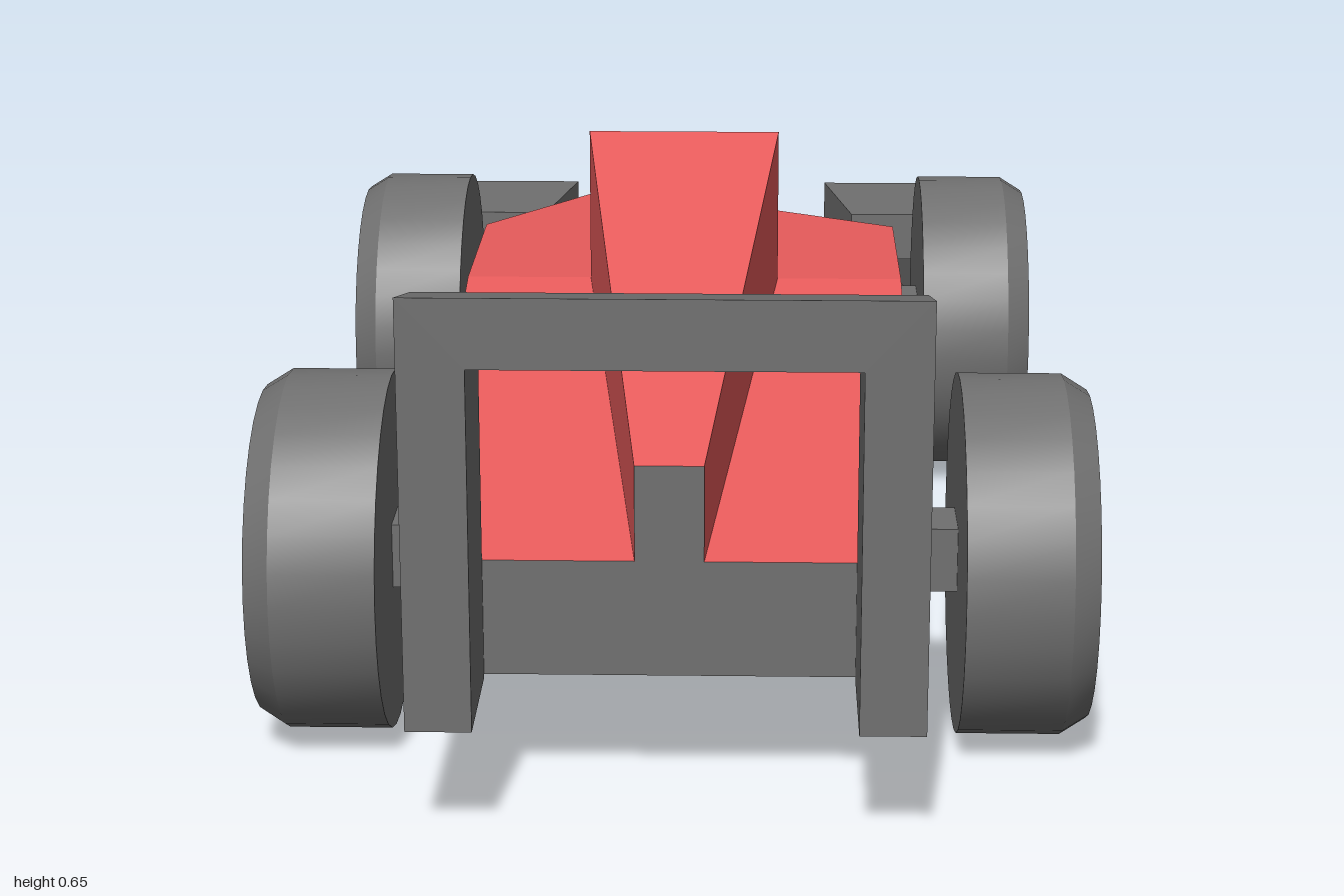
import * as THREE from 'three';
import { toCreasedNormals } from 'three/addons/utils/BufferGeometryUtils.js';

const material = (color) => new THREE.MeshStandardMaterial({ color });
const red = material(0xe75b5b);
const dark = material(0x707070);
const glass = material(0x566680);
const metal = material(0xcccccc);

function part(name, geometry, mat) {
  const mesh = new THREE.Mesh(geometry, mat);
  mesh.name = name;
  return mesh;
}

// Flat panels given for the +x half, mirrored to the other side.
function mirroredPanels(panels) {
  const out = [];
  const fan = (p) => {
    for (let i = 1; i < p.length - 1; i++) out.push(...p[0], ...p[i], ...p[i + 1]);
  };
  for (const p of panels) {
    fan(p);
    fan(p.map(([x, y, z]) => [-x, y, z]).reverse());
  }
  const g = new THREE.BufferGeometry();
  g.setAttribute('position', new THREE.Float32BufferAttribute(out, 3));
  g.computeVertexNormals();
  return g;
}

// Symmetric outline from its +x half, extruded from z0 to z1, then bent by a rule.
function wing(half, z0, z1, rule) {
  const outline = [...half, ...half.map(([x, y]) => [-x, y]).reverse()];
  const shape = new THREE.Shape(outline.map(([x, y]) => new THREE.Vector2(x, y)));
  const g = new THREE.ExtrudeGeometry(shape, { depth: z1 - z0, bevelEnabled: false });
  g.translate(0, 0, z0);
  const pos = g.attributes.position;
  const v = new THREE.Vector3();
  for (let i = 0; i < pos.count; i++) {
    v.fromBufferAttribute(pos, i);
    rule(v);
    pos.setXYZ(i, v.x, v.y, v.z);
  }
  g.computeVertexNormals();
  return g;
}

// Profile of [radius, x] points turned about the x axis.
function turned(profile) {
  const g = new THREE.LatheGeometry(profile.map(([r, x]) => new THREE.Vector2(r, x)), 32);
  g.rotateZ(-Math.PI / 2);
  return toCreasedNormals(g, 0.5);
}

function createWheel() {
  const wheel = new THREE.Group();
  wheel.name = 'wheel';
  wheel.add(
    part('tyre', turned([[0, -0.08], [0.22, -0.08], [0.22, 0.045], [0.2, 0.077], [0.112, 0.077]]), dark),
    part('hub', turned([[0.112, 0.077], [0.08, 0.045], [0, 0.045]]), metal),
  );
  return wheel;
}

export function createModel() {
  const car = new THREE.Group();
  car.name = 'racingCar';

  // Key heights and stations of the body
  const floor = 0.155, deck = 0.45, tail = 0.295, crown = 0.65;
  const back = 0.84, peak = 0.16, shoulder = -0.13, neck = -0.25, bend = -0.53, tip = -0.92;
  const W = 0.29, N = 0.08;

  // Painted shell: flanks, nose, deck
  car.add(part('bodyShell', mirroredPanels([
    [[W, floor, back], [W, floor, shoulder], [W, deck, shoulder], [W, deck, peak], [W, tail, back]],
    [[N, floor, neck], [N, floor, tip], [N, deck, bend], [N, deck, neck]],
    [[0, tail, back], [W, tail, back], [W, deck, peak], [0, deck, peak]],
    [[0, deck, peak], [W, deck, peak], [W, deck, shoulder], [N, deck, neck], [N, deck, bend], [0, deck, bend]],
    [[0, deck, bend], [N, deck, bend], [N, floor, tip], [0, floor, tip]],
  ]), red));

  // Tapering cover behind the cockpit
  car.add(part('engineCover', mirroredPanels([
    [[0.04, tail, back], [0.125, deck, peak], [0.125, crown, peak], [0.04, 0.41, back]],
    [[0, 0.41, back], [0.04, 0.41, back], [0.125, crown, peak], [0, crown, peak]],
  ]), red));

  // Unpainted floor, tail faces and side intakes
  car.add(part('floorAndIntakes', mirroredPanels([
    [[0, floor, back], [0, floor, tip], [N, floor, tip], [N, floor, neck], [W, floor, shoulder], [W, floor, back]],
    [[0, floor, back], [W, floor, back], [W, tail, back], [0, tail, back]],
    [[0, tail, back], [0.04, tail, back], [0.04, 0.41, back], [0, 0.41, back]],
    [[W, floor, shoulder], [N, floor, neck], [N, deck, neck], [W, deck, shoulder]],
  ]), dark));

  // Wedge-shaped cockpit glass
  car.add(part('cockpitGlass', mirroredPanels([
    [[0.125, deck, peak], [0.095, deck, shoulder], [0.125, crown, peak]],
    [[0.125, crown, peak], [0.095, deck, shoulder], [0, deck, shoulder], [0, crown, peak]],
  ]), glass));

  // Rear wing: arch whose top slopes down towards the nose
  car.add(part('rearWing', wing(
    [[0.215, 0.57], [0.215, 0.15], [W, 0.15], [W, 0.65]], back, 1,
    (v) => { if (v.y > 0.3 && v.z < 0.9) v.y -= 0.037; },
  ), dark));

  // Front wing: low bar with hooked ends, widening backwards
  car.add(part('frontWing', wing(
    [[0.44, 0.08], [0.44, 0.31], [0.21, 0.31], [0.21, 0.235], [0.33, 0.235], [0.33, 0.15]], -1, -0.775,
    (v) => { if (v.z > -0.9) v.x += Math.sign(v.x) * 0.04; },
  ), dark));

  // Axles and wheels
  for (const [end, z] of [['rear', 0.597], ['front', -0.457]]) {
    const axle = part(end + 'Axle', new THREE.BoxGeometry(0.72, 0.08, 0.08), dark);
    axle.position.set(0, 0.225, z);
    car.add(axle);
    for (const side of [1, -1]) {
      const wheel = createWheel();
      wheel.name = end + (side > 0 ? 'LeftWheel' : 'RightWheel');
      wheel.position.set(side * 0.423, 0.222, z);
      if (side < 0) wheel.rotation.y = Math.PI;
      car.add(wheel);
    }
  }
  return car;
}
